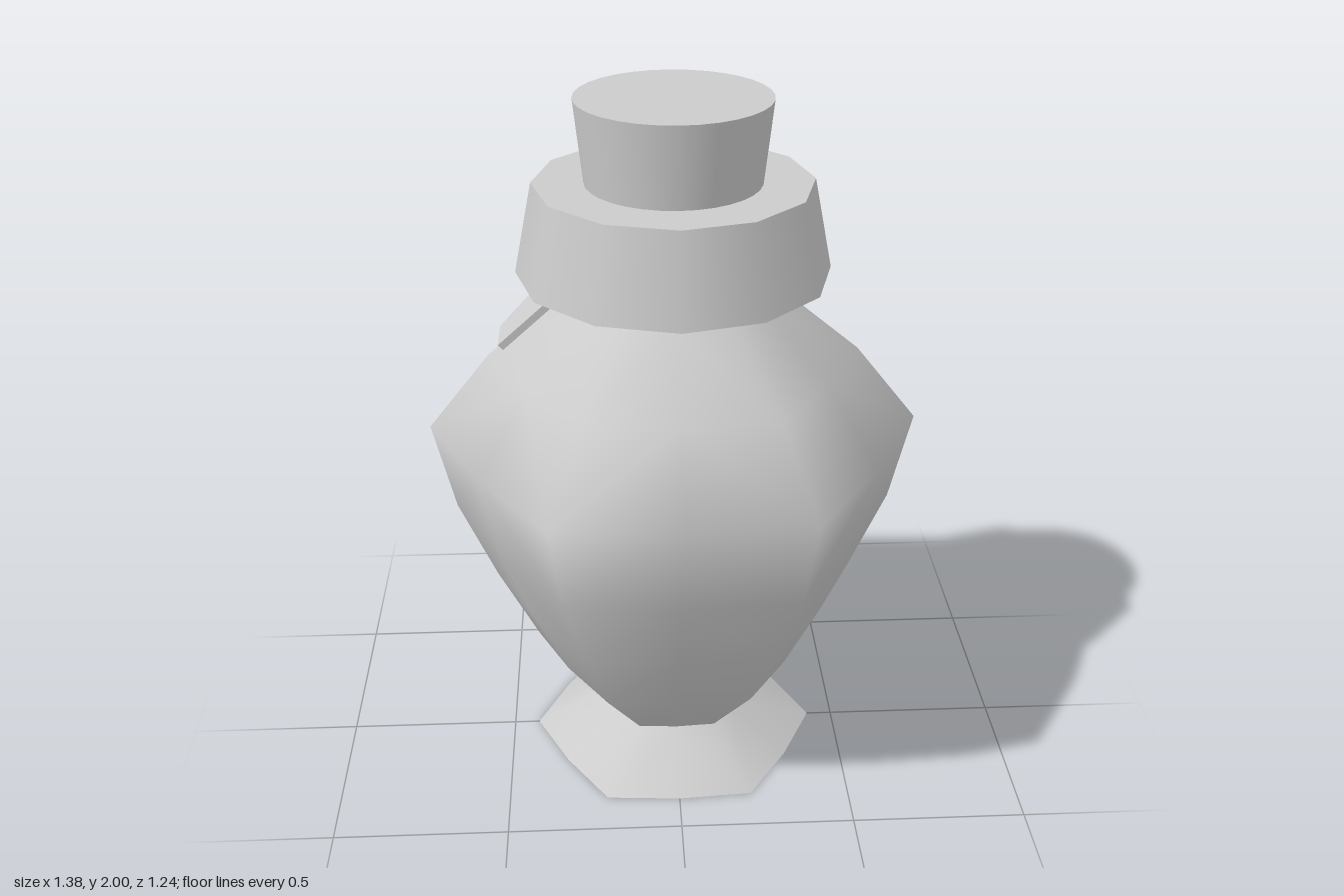
import * as THREE from 'three';

const material = new THREE.MeshStandardMaterial({ color: 0xcccccc });

function add(group, name, geometry) {
  const mesh = new THREE.Mesh(geometry, material);
  mesh.name = name;
  group.add(mesh);
  return mesh;
}

// Smooth twelve-point loft; every second point is pulled in to give six soft corners.
// Each ring is [corner radius, height, pull-in ratio].
function hexLoft(rings) {
  const sides = 12, positions = [], index = [];
  for (const [radius, y, ratio = 0.9] of rings) {
    for (let i = 0; i < sides; i++) {
      const a = (i / sides) * Math.PI * 2;
      const r = i % 2 ? radius * ratio : radius;
      positions.push(r * Math.cos(a), y, r * Math.sin(a));
    }
  }
  for (let j = 0; j < rings.length - 1; j++) {
    for (let i = 0; i < sides; i++) {
      const a = j * sides + i, b = j * sides + (i + 1) % sides;
      const c = a + sides, d = b + sides;
      // diagonals mirror about each corner
      if (i % 2) index.push(a, c, b, b, c, d);
      else index.push(a, c, d, a, d, b);
    }
  }
  const geometry = new THREE.BufferGeometry();
  geometry.setAttribute('position', new THREE.Float32BufferAttribute(positions, 3));
  geometry.setIndex(index);
  geometry.computeVertexNormals();
  return geometry;
}

export function createModel() {
  const group = new THREE.Group();

  // Flared foot with a flat base
  add(group, 'foot', hexLoft([[0.425, 0], [0.225, 0.125]]));
  const base = [];
  for (let i = 0; i < 12; i++) {
    const a = (i / 12) * Math.PI * 2, r = i % 2 ? 0.425 * 0.9 : 0.425;
    base.push(new THREE.Vector2(r * Math.cos(a), r * Math.sin(a)));
  }
  add(group, 'footBase', new THREE.ShapeGeometry(new THREE.Shape(base)).rotateX(Math.PI / 2));

  // Bulging body
  add(group, 'body', hexLoft([
    [0.225, 0.125], [0.41, 0.34], [0.525, 0.56], [0.63, 0.8],
    [0.69, 1.06], [0.515, 1.28], [0.275, 1.475, 0.96],
  ]));

  // Neck and the cord tied round it
  add(group, 'neck', new THREE.CylinderGeometry(0.27, 0.27, 0.06, 24, 1, true).translate(0, 1.495, 0));
  add(group, 'cord', new THREE.TorusGeometry(0.297, 0.013, 8, 32).rotateX(Math.PI / 2).translate(0, 1.487, 0));
  add(group, 'neckRim', new THREE.CylinderGeometry(0.29, 0.275, 0.02, 24).translate(0, 1.482, 0));

  // Twelve-sided collar with a shallow sloped underside
  add(group, 'collar', new THREE.CylinderGeometry(0.377, 0.428, 0.25, 12).translate(0, 1.65, 0));
  add(group, 'collarUnderside', new THREE.CylinderGeometry(0.428, 0.31, 0.022, 12).translate(0, 1.514, 0));

  // Tapered stopper
  add(group, 'stopper', new THREE.CylinderGeometry(0.262, 0.235, 0.25, 32).translate(0, 1.875, 0));

  // Small tapered tag resting on the shoulder
  const tagGeometry = new THREE.BoxGeometry(0.25, 0.02, 1);
  const p = tagGeometry.attributes.position;
  for (let i = 0; i < p.count; i++) p.setZ(i, p.getZ(i) * (p.getX(i) < 0 ? 0.13 : 0.22));
  tagGeometry.computeVertexNormals();
  const tag = add(group, 'tag', tagGeometry);
  tag.position.set(-0.387, 1.415, -0.01);
  tag.rotation.z = Math.PI / 4;

  return group;
}
